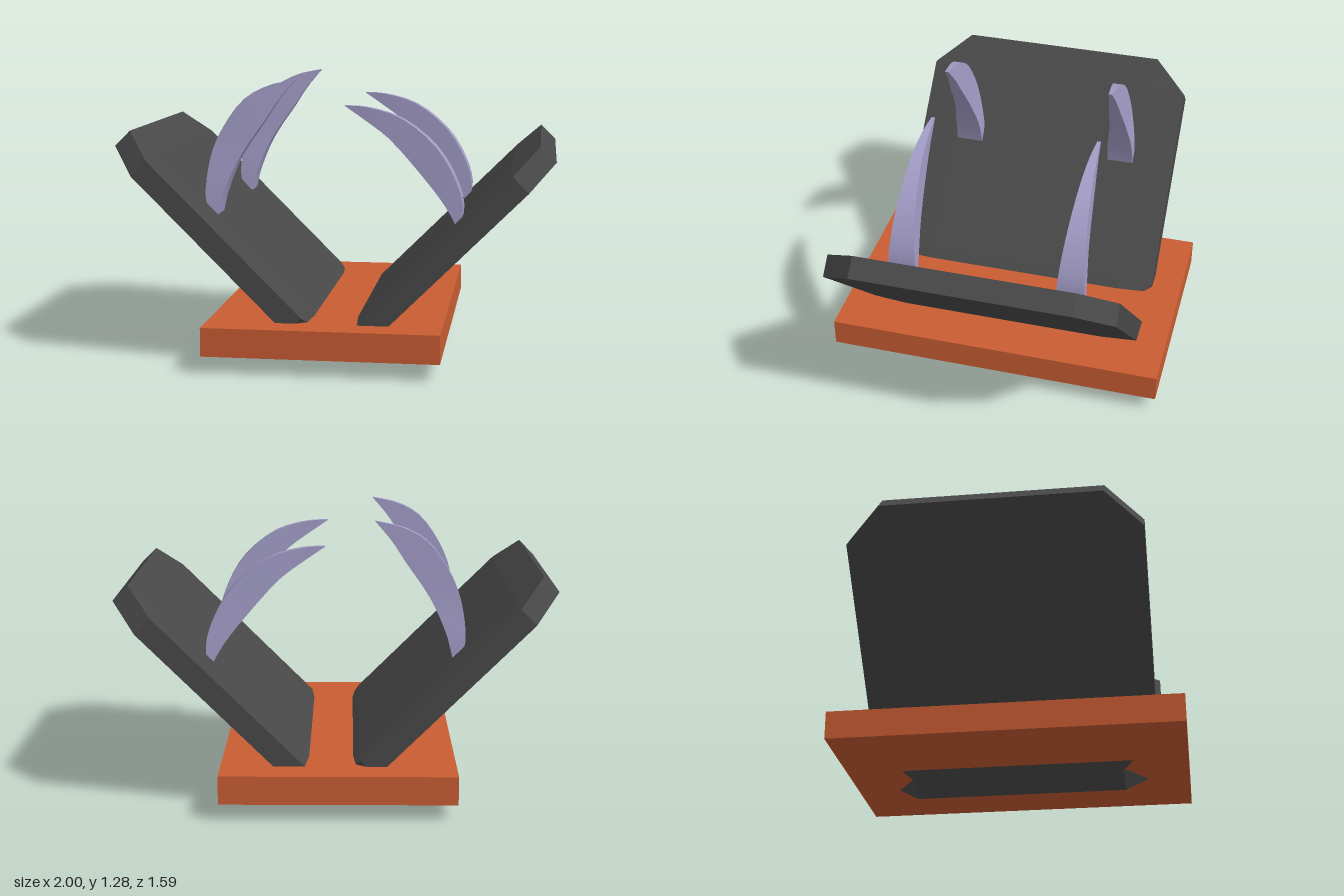
import * as THREE from 'three';
import { toCreasedNormals } from 'three/addons/utils/BufferGeometryUtils.js';
import { ConvexGeometry } from 'three/addons/geometries/ConvexGeometry.js';

const orange = new THREE.MeshStandardMaterial({ name: 'orange', color: 0xc95d32 });
const charcoal = new THREE.MeshStandardMaterial({ name: 'charcoal', color: 0x484848 });
const lavender = new THREE.MeshStandardMaterial({ name: 'lavender', color: 0xa29cc6 });

// Square plate with cut corners and slightly raised faces
function plateGeometry() {
  const R = 0.657, C = 0.492, points = [];
  for (const sx of [-1, 1]) for (const sz of [-1, 1]) for (const sy of [-1, 1]) {
    points.push(
      new THREE.Vector3(sx * R, sy * 0.05, sz * C),
      new THREE.Vector3(sx * C, sy * 0.05, sz * R),
      new THREE.Vector3(sx * C, sy * 0.061, sz * C));
  }
  return new ConvexGeometry(points);
}

// Curved claw: four-sided sections between an outer and an inner edge, root to tip
function clawGeometry(outer, inner, halfWidths) {
  const n = outer.length - 1, steps = 18;
  const curve = (pts) => new THREE.CatmullRomCurve3(
    pts.map(([x, y], i) => new THREE.Vector3(x, y, halfWidths[i])), false, 'centripetal');
  const o = curve(outer), c = curve(inner);
  const positions = [], index = [];
  for (let i = 0; i <= steps; i++) {
    const a = o.getPoint(i / steps), b = c.getPoint(i / steps);
    positions.push(a.x, a.y, a.z, a.x, a.y, -a.z, b.x, b.y, -b.z, b.x, b.y, b.z);
  }
  // Winding depends on which side the claw curves to
  const flip = outer[n][0] < outer[0][0];
  const quad = (a, b, d, e) => flip
    ? index.push(a, b, d, a, d, e) : index.push(a, d, b, a, e, d);
  for (let i = 0; i < steps; i++) for (let k = 0; k < 4; k++) {
    const l = (k + 1) % 4, p = i * 4, q = p + 4;
    quad(p + k, p + l, q + l, q + k);
  }
  const e = steps * 4;
  quad(3, 2, 1, 0);
  quad(e, e + 1, e + 2, e + 3);
  const g = new THREE.BufferGeometry();
  g.setAttribute('position', new THREE.Float32BufferAttribute(positions, 3));
  g.setIndex(index);
  return toCreasedNormals(g, 0.6);
}

export function createModel() {
  const model = new THREE.Group();
  model.name = 'clawTrap';
  const add = (name, geometry, material, x, y, z) => {
    const mesh = new THREE.Mesh(geometry, material);
    mesh.name = name;
    mesh.position.set(x, y, z);
    model.add(mesh);
    return mesh;
  };

  // Base slab
  add('base', new THREE.BoxGeometry(1.06, 0.13, 1.59), orange, -0.015, 0.145, 0);

  // Two tilted jaws
  const plate = plateGeometry();
  add('leftJaw', plate, charcoal, 0.499, 0.503, 0.003).rotation.z = Math.PI / 4;
  add('rightJaw', plate, charcoal, -0.5, 0.547, 0.003).rotation.z = -Math.PI / 4;

  // Claws, a front and a back one on each jaw
  const leftClaw = clawGeometry(
    [[0.575, 0.6], [0.588, 0.717], [0.556, 0.834], [0.465, 0.984], [0.305, 1.112], [0.144, 1.16], [0.048, 1.166]],
    [[0.57, 0.6], [0.545, 0.66], [0.495, 0.74], [0.41, 0.845], [0.25, 1.02], [0.144, 1.098], [0.046, 1.164]],
    [0.068, 0.064, 0.056, 0.042, 0.027, 0.016, 0.008]);
  const rightClaw = clawGeometry(
    [[-0.55, 0.62], [-0.585, 0.72], [-0.588, 0.79], [-0.56, 0.95], [-0.508, 1.064], [-0.417, 1.187], [-0.31, 1.25], [-0.18, 1.28]],
    [[-0.54, 0.62], [-0.515, 0.73], [-0.487, 0.81], [-0.444, 0.904], [-0.395, 0.985], [-0.32, 1.09], [-0.255, 1.188], [-0.179, 1.278]],
    [0.067, 0.063, 0.058, 0.045, 0.037, 0.028, 0.018, 0.008]);
  for (const [end, z] of [['Front', 0.4], ['Back', -0.39]]) {
    add(`left${end}Claw`, leftClaw, lavender, 0, 0, z);
    add(`right${end}Claw`, rightClaw, lavender, 0, 0, z);
  }
  return model;
}
